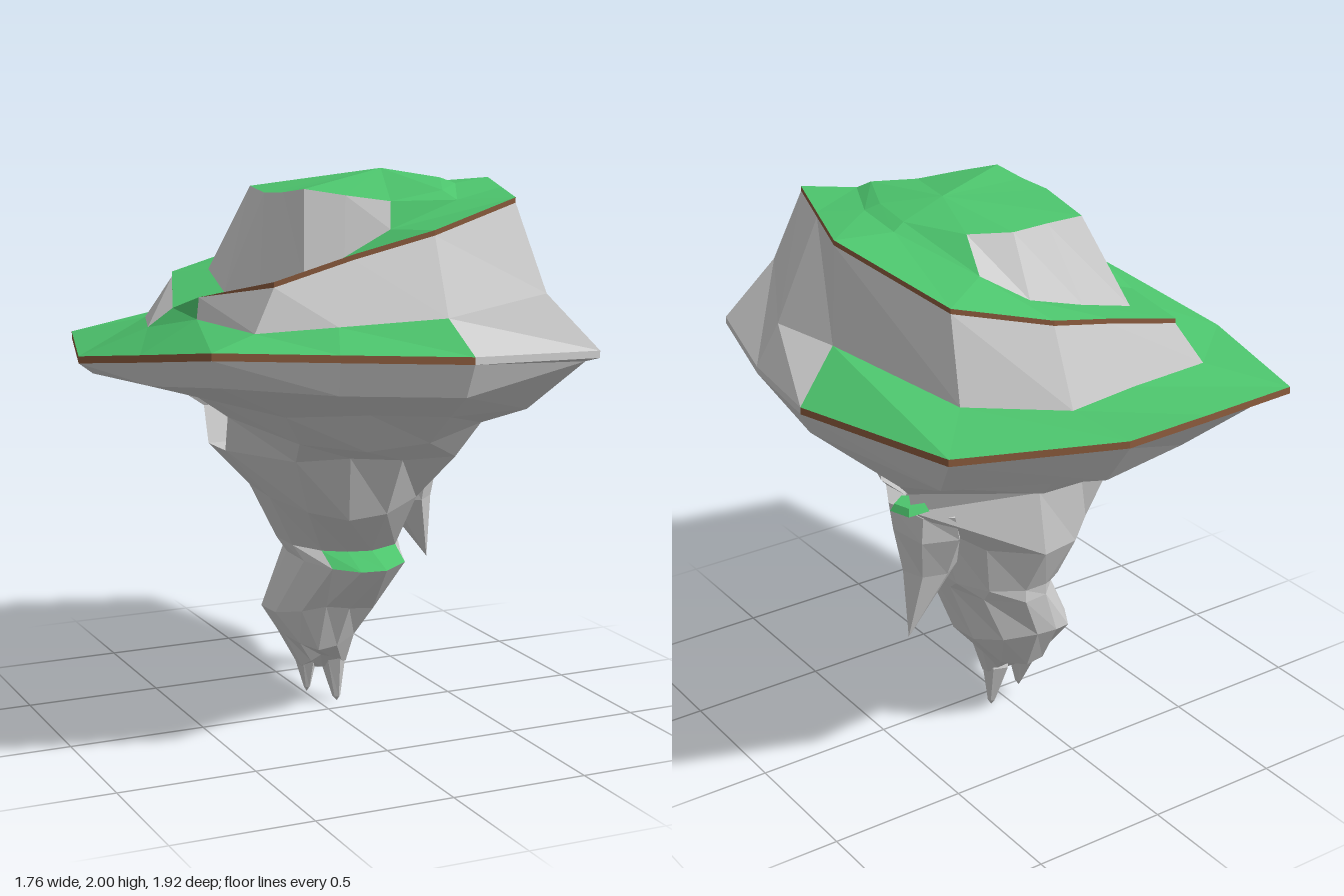
import * as THREE from 'three';

const GREY = 0xcccccc, GREEN = 0x4cc36c, BROWN = 0x8a5a3c;
const N = 12;
// station angles, clockwise seen from above, starting at the front-left tip
const ANGLES = [135, 165, 195, 230, 255, 280, 315, 345, 15, 50, 85, 110].map(d => d * Math.PI / 180);
const ALL = ANGLES.map((_, i) => i);
const wobble = (i, k) => Math.sin(i * 7.3 + k * 3.1);

// terrace outlines, one [x, y, z] per station
const RIM = [[-.75, 1.5, .77], [-.82, 1.43, .3], [-.88, 1.36, -.18], [-.72, 1.36, -.76], [-.25, 1.42, -.88], [.14, 1.46, -.96],
  [.71, 1.48, -.78], [.88, 1.47, -.16], [.79, 1.43, .3], [.65, 1.42, .79], [.08, 1.46, .96], [-.35, 1.48, .86]];
const WALL_BASE = [[-.55, 1.53, .64], [-.6, 1.53, .25], [-.65, 1.46, -.1], [-.5, 1.43, -.55], [-.15, 1.45, -.61], [.15, 1.46, -.67],
  [.5, 1.51, -.53], [.67, 1.59, -.02], [.7, 1.57, .3], [.46, 1.62, .75], [.05, 1.57, .83], [-.3, 1.55, .74]];
const WALL_TOP = [[-.47, 1.69, .61], [-.58, 1.6, .22], [-.575, 1.53, -.05], [-.41, 1.6, -.5], [-.1, 1.68, -.53], [.15, 1.74, -.56],
  [.48, 1.82, -.45], [.64, 1.95, 0], [.53, 1.94, .3], [.42, 1.93, .6], [.08, 1.84, .67], [-.2, 1.77, .64]];
const CROWN_BASE = [[-.28, 1.66, .42], [-.35, 1.59, .2], [-.4, 1.58, 0], [-.32, 1.62, -.36], [-.1, 1.68, -.38], [.14, 1.76, -.41],
  [.3, 1.86, -.35], [.42, 1.94, -.02], [.4, 1.95, .2], [.25, 1.92, .5], [0, 1.83, .5], [-.15, 1.74, .46]];
const CROWN_TOP = [[-.24, 1.96, .33], [-.26, 1.94, .2], [-.28, 1.93, .08], [-.21, 1.93, -.22], [-.05, 1.94, -.24], [.11, 1.95, -.27],
  [.25, 1.95, -.2], [.37, 1.96, 0], [.35, 1.97, .18], [.22, 1.95, .45], [.02, 1.92, .46], [-.12, 1.94, .4]];
const UNDER_Y = [1.38, 1.32, 1.3, 1.28, 1.27, 1.27, 1.32, 1.36, 1.39, 1.38, 1.32, 1.34];

// underside levels, bottom to top: y, x min, x max, z min, z max
const LEVELS = [[.18, -.08, .1, -.15, -.02], [.27, -.16, .16, -.25, .04], [.4, -.19, .22, -.36, .12], [.59, -.13, .29, -.36, .28],
  [.635, -.13, .29, -.38, .17], [.83, -.28, .34, -.43, .36], [1.02, -.41, .47, -.45, .48], [1.12, -.45, .57, -.5, .59], [1.22, -.6, .69, -.68, .77]];
// rock flank behind the tunnel mouth, one corner per tunnel level
const FLANK = [[.54, 1.04, -.29], [.57, 1.13, -.32], [.65, 1.21, -.39]];

// strip of faces between two rings; a ring may repeat one shared point
function strip(out, lower, upper, stations = ALL) {
  for (const i of stations) {
    const j = (i + 1) % lower.length;
    const a = lower[i], b = upper[i], c = upper[j], d = lower[j];
    if (b !== c) out.push(a, b, c);
    if (a !== d) out.push(a, c, d);
  }
}

function addPart(group, name, color, points, side = THREE.FrontSide) {
  const g = new THREE.BufferGeometry();
  g.setAttribute('position', new THREE.Float32BufferAttribute(points.flat(), 3));
  g.computeVertexNormals();
  const mesh = new THREE.Mesh(g, new THREE.MeshStandardMaterial({ color, flatShading: true, side }));
  mesh.name = name;
  group.add(mesh);
}

// copy of a ring moved down, except where a ramp meets it
const lowered = (ring, d, fixed = []) => ring.map(([x, y, z], i) => [x, fixed.includes(i) ? y : y - d, z]);
const point = (p, n = N) => Array(n).fill(p);

function underRing([y, x0, x1, z0, z1], k) {
  const tunnelLevel = k - 6; // 0..2 are the bottom, middle and top of the tunnel mouth
  return ANGLES.map((a, i) => {
    if (tunnelLevel >= 0 && i === 6) return FLANK[tunnelLevel];
    const r = 1 + .045 * wobble(i, k);
    const p = [(x0 + x1) / 2 + Math.cos(a) * r * (x1 - x0) / 2, y + .025 * wobble(i + 3, k),
      (z0 + z1) / 2 + Math.sin(a) * r * (z1 - z0) / 2];
    if (k === 3 || k === 4) p[1] = y; // keep the front ledge level
    if (tunnelLevel >= 0 && [1, 2, 7, 8].includes(i)) {
      const w = tunnelLevel === 1 ? .125 : .075;
      if (i > 6 && tunnelLevel > 0) p[0] -= .1; // the mouth is recessed like a cave
      p[1] = [1.02, 1.15, 1.28][tunnelLevel];
      p[2] = -.06 + (i === 1 || i === 8 ? w : -w);
    }
    return p;
  });
}

// pointed rock: rings are [y, centre x, centre z, radius x, radius z], from the tip up
function spike(group, name, tip, top, rings) {
  const faces = [], sides = [0, 1, 2, 3, 4, 5];
  let last = point(tip, 6);
  rings.forEach(([y, cx, cz, rx, rz], k) => {
    const ring = sides.map(i => {
      const a = i * Math.PI / 3 + .3, r = 1 + .1 * wobble(i, k);
      return [cx + Math.cos(a) * rx * r, y, cz + Math.sin(a) * rz * r];
    });
    strip(faces, last, ring, sides);
    last = ring;
  });
  strip(faces, last, point(top, 6), sides);
  addPart(group, name, GREY, faces);
}

export function createModel() {
  const island = new THREE.Group();
  island.name = 'floatingIsland';
  const except = (...skip) => ALL.filter(i => !skip.includes(i));
  const terrace = except(7, 8, 9), bareRim = [7, 8, 9], ramp = [6, 7, 8, 9], ledgeFront = [9, 10, 11];

  // hanging rock body, with the tunnel mouths left open
  const under = LEVELS.map(underRing);
  const rimLow = lowered(RIM, .025), wallLow = lowered(WALL_TOP, .018, [1, 2]);
  const rimUnder = RIM.map(([x, , z], i) => [x * .95, UNDER_Y[i], z * (z < 0 ? .87 : .95)]);
  const rock = [], ledge = [];
  strip(rock, point([.01, .14, -.08]), under[0]);
  for (let k = 0; k < under.length - 1; k++) {
    const skip = k >= 6 ? [1, 7] : k === 3 ? ledgeFront : [];
    strip(rock, under[k], under[k + 1], except(...skip));
  }
  strip(ledge, under[3], under[4], ledgeFront);
  strip(rock, under[8], rimUnder);
  strip(rock, rimUnder, rimLow);
  addPart(island, 'hangingRock', GREY, rock);
  addPart(island, 'frontLedge', GREEN, ledge);

  // tunnel through the rock from side to side
  const [lo, mid, hi] = under.slice(6);
  const mouth = (f, b) => [hi[f], hi[b], mid[b], lo[b], lo[f], mid[f]];
  const tunnel = [];
  strip(tunnel, mouth(8, 7), mouth(1, 2), [0, 1, 2, 3, 4, 5]);
  addPart(island, 'tunnel', GREY, tunnel, THREE.DoubleSide);

  // spiral of walls
  const walls = [];
  strip(walls, rimLow, RIM, bareRim);
  strip(walls, RIM, WALL_BASE, bareRim);
  strip(walls, WALL_BASE, wallLow, except(1));
  strip(walls, CROWN_BASE, CROWN_TOP, except(...ramp));
  addPart(island, 'spiralWalls', GREY, walls);

  // grassy terraces, the ramps joining them, and the summit
  const grass = [];
  strip(grass, RIM, WALL_BASE, terrace);
  strip(grass, WALL_BASE, WALL_TOP, [1]);
  strip(grass, WALL_TOP, CROWN_BASE);
  strip(grass, CROWN_BASE, CROWN_TOP, ramp);
  strip(grass, CROWN_TOP, point([.18, 2, .05]));
  addPart(island, 'grass', GREEN, grass);

  // soil under the grass edges
  const soil = [];
  strip(soil, rimLow, RIM, terrace);
  strip(soil, wallLow, WALL_TOP, except(1));
  addPart(island, 'soilEdge', BROWN, soil);

  // side spike below the tunnel and the two bottom tips
  spike(island, 'sideSpike', [.5, .49, -.19], [.4, 1.05, -.2],
    [[.74, .4, -.18, .1, .09], [.9, .4, -.17, .12, .15], [1, .42, -.17, .11, .19]]);
  spike(island, 'bottomTip', [.07, 0, -.08], [.04, .3, -.08], [[.02, .068, -.08, .015, .015], [.18, .05, -.08, .05, .06]]);
  spike(island, 'smallBottomTip', [-.05, .05, -.09], [-.03, .35, -.1], [[.07, -.048, -.09, .012, .015], [.2, -.05, -.1, .045, .07]]);

  // small patch of grass on the flank beside the tunnel mouth
  const turf = new THREE.Mesh(new THREE.CylinderGeometry(.055, .07, .025, 5),
    new THREE.MeshStandardMaterial({ color: GREEN, flatShading: true }));
  turf.name = 'flankGrass';
  turf.position.set(.54, 1.065, -.28);
  island.add(turf);
  return island;
}
